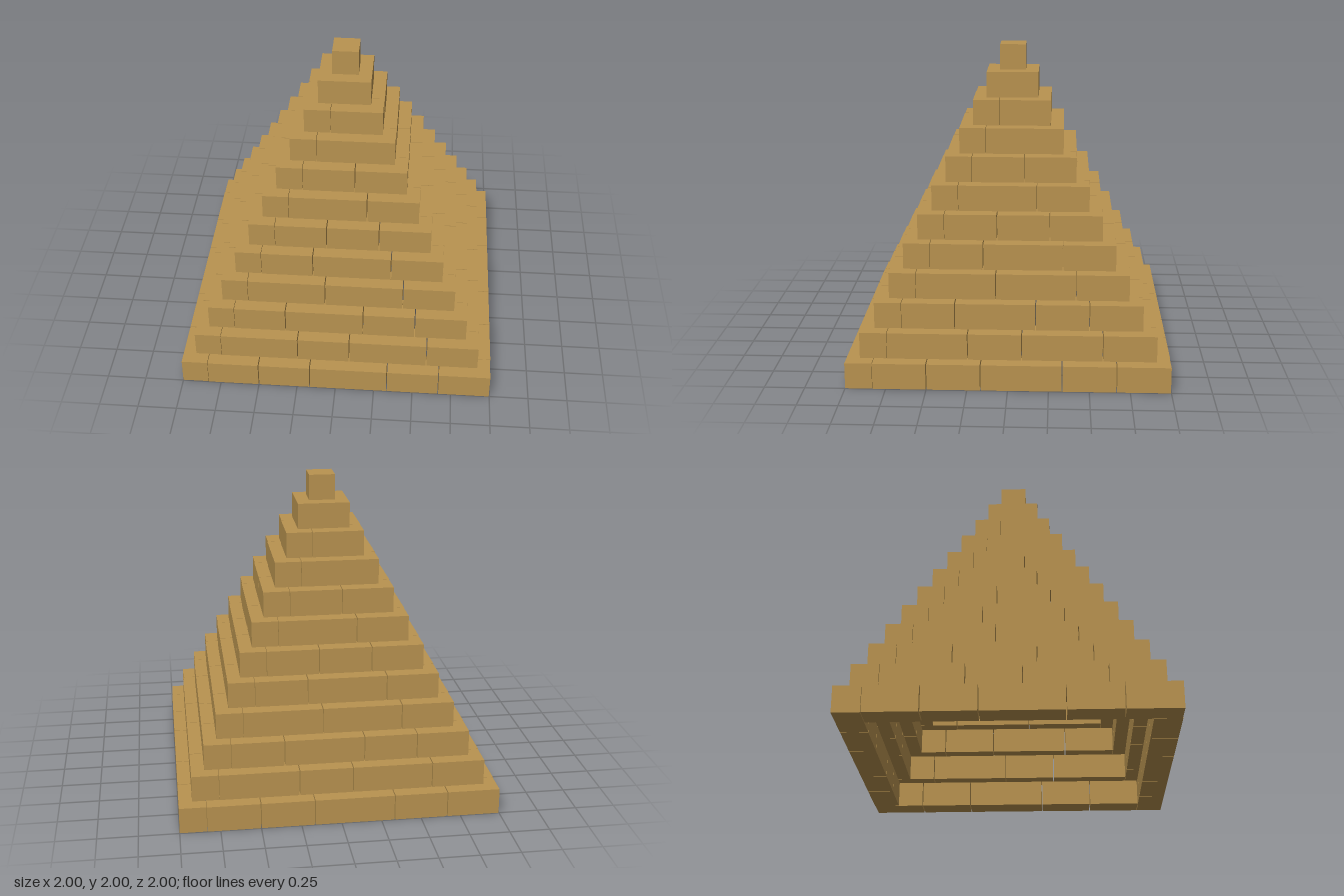
import * as THREE from 'three';

const U = 1 / 6;      // brick width and height
const GAP = 0.006;    // open joint between bricks

// Brick lengths (in U) along one side of each hollow course, bottom to top
const COURSES = [
  [2, 2, 3, 2, 2],
  [3, 2, 3, 2],
  [2, 3, 2, 2],
  [3, 3, 2],
  [2, 3, 2],
  [2, 2, 2],
  [3, 2],
  [2, 2],
  [3],
  [2],
];

export function createModel() {
  const pyramid = new THREE.Group();
  pyramid.name = 'steppedPyramid';
  const stone = new THREE.MeshStandardMaterial({ color: 0xb99350, flatShading: true });

  function addBlock(parent, name, length, depth, x, y, z) {
    const block = new THREE.Mesh(new THREE.BoxGeometry(length, U - 0.002, depth), stone);
    block.name = name;
    block.position.set(x, y, z);
    parent.add(block);
  }

  // Hollow courses: four equal rows of bricks interlocked like a pinwheel
  COURSES.forEach((lengths, level) => {
    const course = new THREE.Group();
    course.name = `course${level + 1}`;
    const half = (12 - level) * U / 2;
    for (let side = 0; side < 4; side++) {
      const row = new THREE.Group();
      row.name = `brickRow${side + 1}`;
      row.rotation.y = side * Math.PI / 2;
      let start = -half + U;
      for (const n of lengths) {
        const length = n * U;
        addBlock(row, 'brick', length - GAP, U, start + length / 2, 0, half - U / 2);
        start += length;
      }
      course.add(row);
    }
    course.position.y = (level + 0.5) * U;
    pyramid.add(course);
  });

  // Solid blocks closing the top
  addBlock(pyramid, 'capBlock', 2 * U, 2 * U, 0, 10.5 * U, 0);
  addBlock(pyramid, 'topBlock', U, U, 0, 11.5 * U, 0);

  return pyramid;
}
